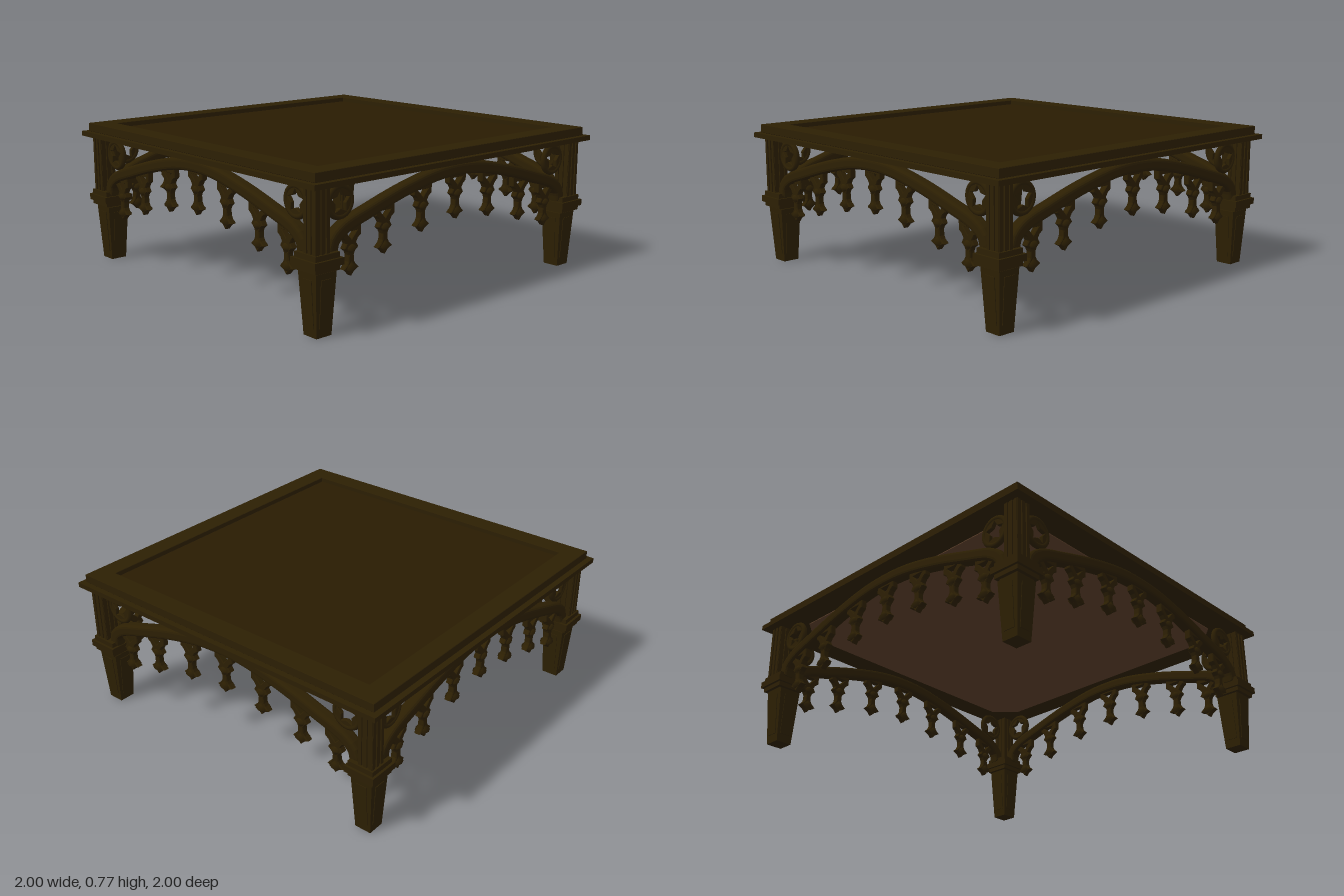
import * as THREE from 'three';

const wood = new THREE.MeshStandardMaterial({ color: 0x2c1f03 });
wood.name = 'dark oak';
const panelWood = new THREE.MeshStandardMaterial({ color: 0x291b02 });
panelWood.name = 'brown panel';
const underWood = new THREE.MeshStandardMaterial({ color: 0x5c3f2a });
underWood.name = 'underside brown';

function add(parent, name, geometry, material, x = 0, y = 0, z = 0) {
  const mesh = new THREE.Mesh(geometry, material);
  mesh.name = name;
  mesh.position.set(x, y, z);
  parent.add(mesh);
  return mesh;
}

// Square frustum: half widths at the bottom and top, between y0 and y1
function frustum(parent, name, bottom, top, y0, y1, offset = 0) {
  const g = new THREE.CylinderGeometry(top * Math.SQRT2, bottom * Math.SQRT2, y1 - y0, 4).toNonIndexed();
  g.rotateY(Math.PI / 4);
  g.computeVertexNormals();
  return add(parent, name, g, wood, offset, (y0 + y1) / 2, offset);
}

// Extrusion centred on z = 0, bevelled inside its own depth
function slab(shape, depth, bevel, segments = 1) {
  const g = new THREE.ExtrudeGeometry(shape, {
    depth: depth - 2 * bevel, bevelEnabled: true, bevelThickness: bevel,
    bevelSize: bevel, bevelOffset: -bevel, bevelSegments: segments, curveSegments: 10,
  });
  return g.translate(0, 0, bevel - depth / 2);
}

const points = list => list.map(([x, y]) => new THREE.Vector2(x, y));
const mirrored = half => points([...half, ...half.slice().reverse().map(([x, y]) => [-x, y])]);
const square = h => points([[-h, -h], [h, -h], [h, h], [-h, h]]);

function makeTop() {
  const top = new THREE.Group();
  top.name = 'tableTop';
  add(top, 'lowerEdge', new THREE.BoxGeometry(2, 0.026, 2), wood, 0, 0.715, 0);
  // Raised border around a sunken panel
  const border = new THREE.Shape(square(0.97));
  border.holes.push(new THREE.Path(square(0.858)));
  add(top, 'border', slab(border, 0.046, 0.002).rotateX(-Math.PI / 2), wood, 0, 0.751, 0);
  add(top, 'centrePanel', new THREE.BoxGeometry(1.718, 0.022, 1.718), panelWood, 0, 0.737, 0);
  // Underside panel with cut corners
  const h = 0.86, c = 0.74;
  const under = new THREE.Shape(points([[h, -c], [h, c], [c, h], [-c, h], [-h, c], [-h, -c], [-c, -h], [c, -h]]));
  add(top, 'underPanel', slab(under, 0.006, 0.001).rotateX(-Math.PI / 2), underWood, 0, 0.7, 0);
  return top;
}

function makeLeg() {
  const leg = new THREE.Group();
  leg.name = 'leg';
  // Tapered foot with a raised panel on each face, post with ribs above
  frustum(leg, 'foot', 0.045, 0.062, 0, 0.305, -0.005);
  const post = 0.021;
  frustum(leg, 'post', 0.036, 0.036, 0.39, 0.705, post);
  for (let i = 0; i < 4; i++) {
    const footFace = new THREE.Group();
    footFace.name = 'footFace';
    footFace.position.set(-0.005, 0, -0.005);
    const postFace = new THREE.Group();
    postFace.name = 'postFace';
    postFace.position.set(post, 0, post);
    footFace.rotation.y = postFace.rotation.y = i * Math.PI / 2;
    const plate = add(footFace, 'footPanel', new THREE.BoxGeometry(0.062, 0.23, 0.006), wood, 0, 0.16, 0.0545);
    plate.rotation.x = 0.056;
    for (const x of [-0.031, 0, 0.031]) {
      add(postFace, 'postRib', new THREE.BoxGeometry(0.018, 0.31, 0.012), wood, x, 0.545, 0.037);
    }
    leg.add(footFace, postFace);
  }
  // Collar mouldings
  frustum(leg, 'collarNeck', 0.055, 0.055, 0.3, 0.315);
  frustum(leg, 'collarBase', 0.073, 0.073, 0.312, 0.336);
  frustum(leg, 'collarBand', 0.086, 0.086, 0.336, 0.37);
  frustum(leg, 'collarCap', 0.073, 0.073, 0.37, 0.396);
  return leg;
}

// Arched rail: a band of even width following a curve
const half = [[0.838, 0.38], [0.825, 0.435], [0.765, 0.485], [0.6, 0.541], [0.38, 0.605], [0.16, 0.65]];
const archCurve = new THREE.CatmullRomCurve3(
  [...half.map(([x, y]) => [-x, y]), [0, 0.66], ...half.slice().reverse()]
    .map(([x, y]) => new THREE.Vector3(x, y, 0)));

function archShape(width) {
  const upper = [], lower = [];
  for (let i = 0; i <= 64; i++) {
    const p = archCurve.getPointAt(i / 64), t = archCurve.getTangentAt(i / 64);
    upper.push([p.x - t.y * width / 2, p.y + t.x * width / 2]);
    lower.push([p.x + t.y * width / 2, p.y - t.x * width / 2]);
  }
  return new THREE.Shape(points([...lower, ...upper.reverse()]));
}

// Pierced pendant, hanging from y = 0
function pendantShape() {
  const shape = new THREE.Shape(mirrored([
    [0.062, 0.03], [0.062, -0.035], [0.042, -0.05], [0.03, -0.07], [0.044, -0.092],
    [0.024, -0.108], [0.016, -0.125], [0.018, -0.155], [0.026, -0.17], [0.048, -0.19],
    [0.03, -0.198], [0.018, -0.205], [0, -0.225],
  ]));
  shape.holes.push(new THREE.Path(points([[-0.034, -0.014], [0, -0.05], [0.034, -0.014]])));
  return shape;
}

// Disc pierced by a five-pointed opening
function tracery() {
  const shape = new THREE.Shape().absarc(0, 0, 0.076, 0, Math.PI * 2);
  const star = [];
  for (let i = 0; i < 10; i++) {
    const a = i / 10 * Math.PI * 2 + Math.PI / 2, r = i % 2 ? 0.031 : 0.055;
    star.push([r * Math.cos(a), r * Math.sin(a)]);
  }
  shape.holes.push(new THREE.Path(points(star)));
  return shape;
}

const railGeo = slab(archShape(0.064), 0.066, 0.018, 3);
const pendantGeo = slab(pendantShape(), 0.034, 0.004);
const traceryGeo = slab(tracery(), 0.022, 0.003);
const rimGeo = new THREE.TorusGeometry(0.071, 0.015, 8, 32);
const finialGeo = new THREE.LatheGeometry(points([
  [0, -0.225], [0.018, -0.207], [0.038, -0.188], [0.022, -0.168], [0.016, -0.15],
  [0.016, -0.125], [0.026, -0.107], [0.034, -0.092], [0.02, -0.075], [0, -0.07],
]), 8);

function makeSide() {
  const side = new THREE.Group();
  side.name = 'sideArcade';
  add(side, 'archRail', railGeo, wood);
  for (const [x, y] of [[0, 0.632], [0.247, 0.605], [0.5, 0.543], [0.715, 0.478]]) {
    for (const s of x ? [-1, 1] : [1]) {
      add(side, 'pendant', pendantGeo, wood, s * x, y, 0);
      add(side, 'pendantFinial', finialGeo, wood, s * x, y, 0);
    }
  }
  for (const s of [-1, 1]) {
    add(side, 'traceryDisc', traceryGeo, wood, s * 0.777, 0.61, 0);
    add(side, 'traceryRim', rimGeo, wood, s * 0.777, 0.61, 0);
  }
  return side;
}

export function createModel() {
  const model = new THREE.Group();
  model.name = 'carvedTable';
  model.add(makeTop());
  // Four legs and four arcades, turned about the centre
  for (let i = 0; i < 4; i++) {
    const quarter = new THREE.Group();
    quarter.name = 'quarter';
    quarter.rotation.y = i * Math.PI / 2;
    const leg = makeLeg();
    leg.position.set(0.893, 0, 0.893);
    const side = makeSide();
    side.position.z = 0.912;
    quarter.add(leg, side);
    model.add(quarter);
  }
  return model;
}
